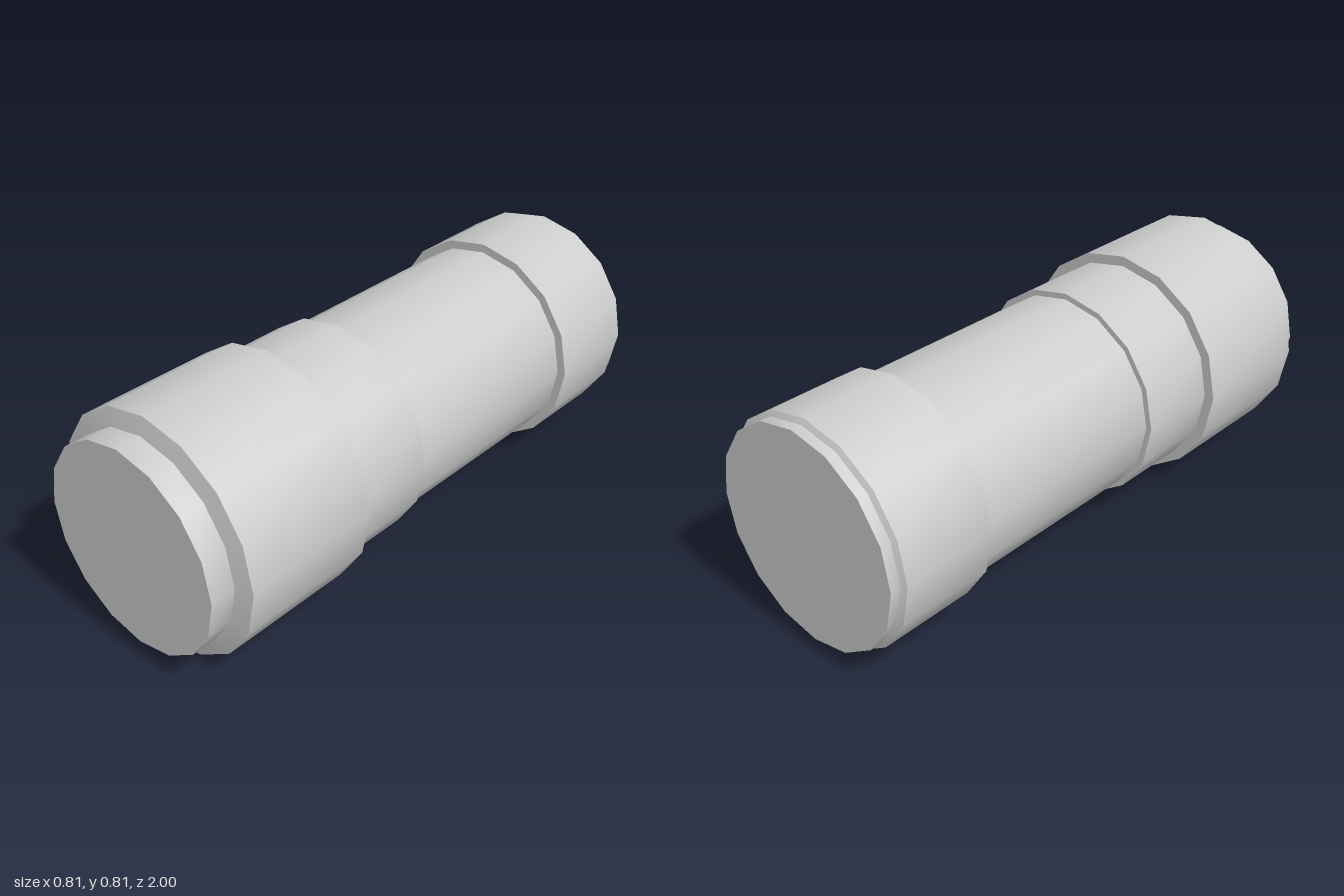
import * as THREE from 'three';
import { toCreasedNormals } from 'three/addons/utils/BufferGeometryUtils.js';

const SIDES = 16;
const AXIS_HEIGHT = 0.405;

// Sections along the barrel from back to front, as [radius, z] profiles that join end to end
const SECTIONS = {
  rearCap: [[0, -1], [0.363, -1], [0.363, -0.965]],
  rearCollar: [[0.363, -0.965], [0.38, -0.955], [0.38, -0.627], [0.35, -0.627]],
  barrel: [[0.35, -0.627], [0.35, 0.127]],
  middleSleeve: [[0.35, 0.127], [0.37, 0.127], [0.37, 0.425]],
  frontCollar: [[0.37, 0.425], [0.405, 0.425], [0.405, 0.9], [0.347, 0.915]],
  frontCap: [[0.347, 0.915], [0.347, 1], [0, 1]],
};

// Turns a profile round the z axis, smooth around and sharp at the steps
function turned(profile) {
  const points = profile.map(([r, z]) => new THREE.Vector2(r, z));
  const geometry = new THREE.LatheGeometry(points, SIDES);
  geometry.rotateX(Math.PI / 2);
  return toCreasedNormals(geometry, 0.5);
}

export function createModel() {
  const model = new THREE.Group();
  model.name = 'steppedCylinder';
  const material = new THREE.MeshStandardMaterial({ color: 0xcccccc });
  for (const [name, profile] of Object.entries(SECTIONS)) {
    const mesh = new THREE.Mesh(turned(profile), material);
    mesh.name = name;
    mesh.position.y = AXIS_HEIGHT;
    model.add(mesh);
  }
  return model;
}
